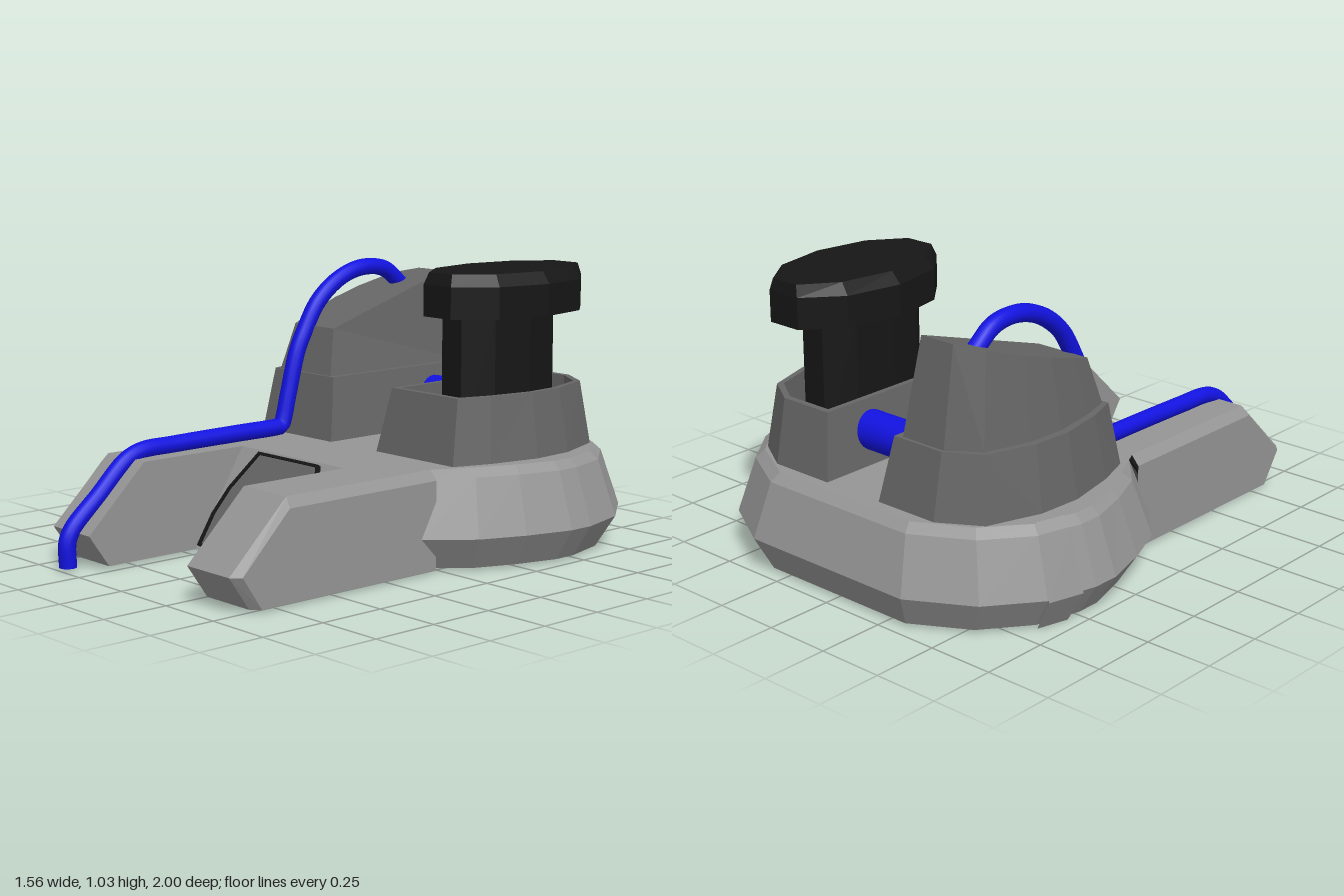
import * as THREE from 'three';

const mat = (color, side = THREE.DoubleSide) =>
  new THREE.MeshStandardMaterial({ color, side, flatShading: true });

// Skin a list of rings; optionally close each ring and cap the last one.
function loft(rings, { closed = true, cap = false } = {}) {
  const pos = [];
  const tri = (a, b, c) => pos.push(...a, ...b, ...c);
  const n = rings[0].length;
  for (let r = 0; r < rings.length - 1; r++) {
    for (let i = 0; i < (closed ? n : n - 1); i++) {
      const j = (i + 1) % n;
      const [a, b, c, d] = [rings[r][i], rings[r][j], rings[r + 1][j], rings[r + 1][i]];
      tri(a, b, c);
      tri(a, c, d);
    }
  }
  const top = rings[rings.length - 1];
  if (cap) for (let i = 1; i < n - 1; i++) tri(top[0], top[i], top[i + 1]);
  const g = new THREE.BufferGeometry();
  g.setAttribute('position', new THREE.Float32BufferAttribute(pos, 3));
  g.computeVertexNormals();
  return g;
}

// Scaled copy of a plan outline at a height (number or function of z).
const ring = (outline, cx, cz, sx, sz, y) => outline.map(([x, z]) => {
  const pz = cz + (z - cz) * sz;
  return [cx + (x - cx) * sx, typeof y === 'function' ? y(pz) : y, pz];
});

// Complete a half outline with its mirror image.
const mirrored = (pts) => [...pts, ...pts.slice().reverse().map(([x, z]) => [-x, z])];

export function createModel() {
  const group = new THREE.Group();
  const hullMat = mat(0x959595), towerMat = mat(0x666666), black = mat(0x161616);
  const blue = new THREE.MeshStandardMaterial({ color: 0x1212e0 });
  const add = (name, geo, material) => {
    const m = new THREE.Mesh(geo, material);
    m.name = name;
    group.add(m);
  };

  // Rounded rear hull, open underneath
  const half = [[0.53, 0.1], [0.66, -0.05], [0.73, -0.22], [0.78, -0.4], [0.78, -0.5],
    [0.73, -0.69], [0.59, -0.87], [0.36, -1]];
  const levels = [[0.01, 0.9, 0.9], [0.13, 1, 1], [0.335, 0.91, 0.89], [0.365, 0.87, 0.83]];
  const hullRings = (pts, grow = 0) => levels.map(([y, sx, sz]) =>
    ring(pts, 0, -0.45, sx + grow, sz + grow, 0.2 + (y - 0.2) * (1 + 4 * grow)));
  add('hull', loft(hullRings(mirrored(half)), { closed: false }), hullMat);

  // Small raised plate on the hull's right rear side
  add('sidePlate', loft(hullRings([[-0.73, -0.69], [-0.765, -0.56]], 0.013), { closed: false }), hullMat);

  // Tower plan: straight inner side, faceted outer side
  const towerOutline = (s) => [[0.125, -0.06], [0.52, -0.06], [0.57, -0.2], [0.61, -0.4],
    [0.6, -0.57], [0.53, -0.77], [0.38, -0.86], [0.125, -0.86]].map(([x, z]) => [s * x, z]);

  // Deck plate, open beneath the hollow right tower
  const flat = (pts) => pts.map(([x, z]) => new THREE.Vector2(x, -z));
  const deckHalf = half.slice(1).map(([x, z]) => [x * 0.87, -0.45 + (z + 0.45) * 0.83]);
  const deckShape = new THREE.Shape(flat(mirrored([[0.28, 0.24], [0.5, 0.03], ...deckHalf])));
  deckShape.holes.push(new THREE.Path(flat(towerOutline(-1))));
  add('deck', new THREE.ShapeGeometry(deckShape).rotateX(-Math.PI / 2).translate(0, 0.365, 0), hullMat);

  // Hollow front legs: sections run inner foot, inner top, outer top, bevel, outer foot
  const legSections = [
    [[0.28, 0.01, 0.465], [0.28, 0.365, 0.24], [0.5, 0.365, 0.03], [0.53, 0.33, 0.03], [0.53, 0.01, 0.03]],
    [[0.28, 0.01, 0.69], [0.28, 0.365, 0.69], [0.5, 0.365, 0.69], [0.53, 0.33, 0.7], [0.53, 0.01, 0.7]],
    [[0.28, 0.01, 0.85], [0.28, 0.13, 0.933], [0.5, 0.13, 0.933], [0.53, 0.13, 0.9], [0.53, 0.01, 0.82]],
    [[0.28, 0.01, 0.85], [0.28, 0.01, 0.85], [0.5, 0.01, 0.85], [0.53, 0.01, 0.82], [0.53, 0.01, 0.82]],
  ];
  for (const [name, s] of [['leftLeg', 1], ['rightLeg', -1]]) {
    const sections = legSections.map((sec) => sec.map(([x, y, z]) => [s * x, y, z]));
    add(name, loft(sections, { closed: false }), hullMat);
  }

  // Sloping bulkhead between the legs, with a framed hatch
  add('bulkhead', loft([
    [[-0.28, 0.01, 0.465], [0.28, 0.01, 0.465]],
    [[-0.28, 0.365, 0.24], [0.28, 0.365, 0.24]],
  ], { closed: false }), mat(0x959595, THREE.FrontSide));
  const hatchHalf = [[0.265, 0], [0.265, 0.13], [0.24, 0.24], [0.165, 0.395]];
  const hatchPts = (s) => mirrored(hatchHalf)
    .map(([x, y]) => new THREE.Vector2(x * s, 0.195 + (y - 0.195) * s));
  const frame = new THREE.Shape(hatchPts(1));
  frame.holes.push(new THREE.Path(hatchPts(0.95)));
  const hatchGeo = (shape, depth) =>
    new THREE.ExtrudeGeometry(shape, { depth, bevelEnabled: false })
      .translate(0, 0, -depth / 2)
      .rotateX(-Math.atan2(0.225, 0.355)).translate(0, 0.022, 0.458);
  add('hatch', hatchGeo(new THREE.Shape(hatchPts(0.96)), 0.016), towerMat);
  add('hatchFrame', hatchGeo(frame, 0.03), black);

  const tower = (s, list) => list.map(([sx, sz, y]) =>
    ring(towerOutline(s), s * 0.366, -0.455, sx, sz, y));
  const base = [[1, 1, 0.365], [0.85, 0.89, 0.6]];

  // Right tower carries a block with a sloping top
  const slope = (z) => 0.77 + (-0.16 - z) * 0.31;
  add('rightTower', loft(tower(-1, [...base, [0.73, 0.86, 0.6], [0.56, 0.73, slope]]),
    { cap: true }), towerMat);

  // Left tower is an open tub holding the knob
  add('leftTower', loft(tower(1, [...base, [0.76, 0.83, 0.6], [0.76, 0.83, 0.38]]),
    { cap: true }), towerMat);

  // Elongated ten-sided knob: neck, overhanging cap and bevelled top
  const decagon = Array.from({ length: 10 }, (_, i) =>
    [Math.cos(i * Math.PI / 5), -Math.sin(i * Math.PI / 5)]);
  const knob = [[0.158, 0.253, -0.452, 0.38], [0.158, 0.253, -0.452, 0.87], [0.223, 0.36, -0.478, 0.87],
    [0.223, 0.36, -0.478, 0.985], [0.188, 0.347, -0.482, 1.028]];
  add('knob', loft(knob.map(([rx, rz, cz, y]) =>
    decagon.map(([x, z]) => [0.357 + x * rx, y, cz + z * rz])), { cap: true }), black);

  // Crossbar between the towers
  const bar = new THREE.CylinderGeometry(0.071, 0.071, 0.34, 24);
  add('crossbar', bar.rotateZ(Math.PI / 2).translate(0, 0.487, -0.622), blue);

  // Hose from the ground over the right leg and into the tower top
  const hose = [[0.01, 0.967], [0.1, 0.967], [0.145, 0.945], [0.25, 0.83], [0.36, 0.71], [0.387, 0.64],
    [0.392, 0.5], [0.396, 0.2], [0.397, 0.01], [0.4, -0.018], [0.425, -0.03], [0.52, -0.055],
    [0.68, -0.1], [0.75, -0.135], [0.86, -0.205], [0.94, -0.31], [0.977, -0.43], [0.965, -0.55], [0.9, -0.64]]
    .map(([y, z]) => new THREE.Vector3(-0.365, y, z));
  const path = new THREE.CatmullRomCurve3(hose, false, 'centripetal');
  add('hose', new THREE.TubeGeometry(path, 140, 0.032, 14), blue);
  add('hoseEnd', new THREE.CircleGeometry(0.032, 14).rotateX(Math.PI / 2)
    .translate(-0.365, 0.01, 0.967), blue);

  return group;
}
